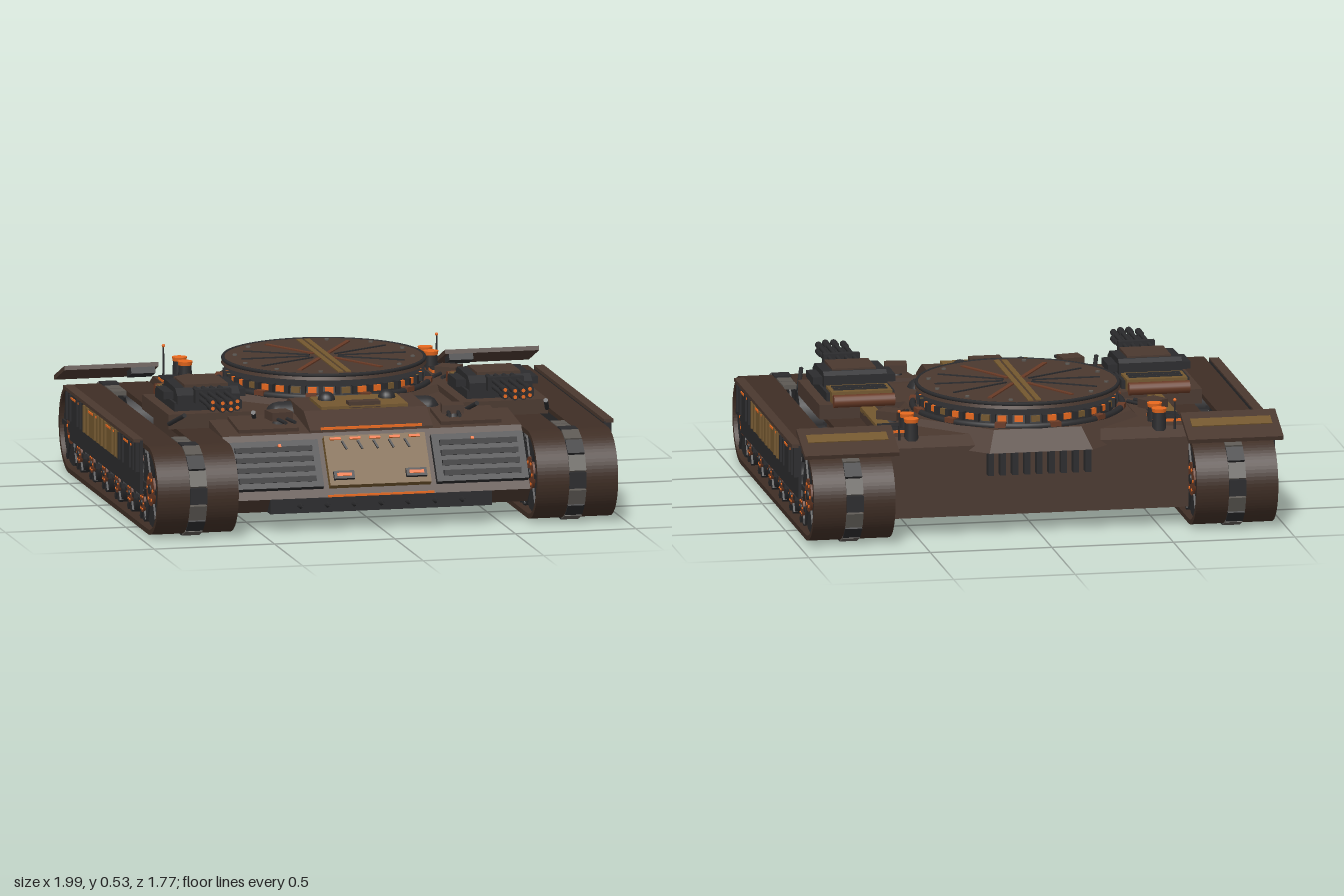
import * as THREE from 'three';

const mat = (color) => new THREE.MeshStandardMaterial({ color, flatShading: false });
const M = {
  brown: mat(0x4a382f), dark: mat(0x2b2b2d), grey: mat(0x5c5853), ochre: mat(0x73572f),
  rust: mat(0x683a26), orange: mat(0xe8691f), belt: mat(0x3f2e25),
};

function add(parent, name, geo, m, x = 0, y = 0, z = 0, rx = 0, ry = 0, rz = 0) {
  const mesh = new THREE.Mesh(geo, m);
  mesh.name = name;
  mesh.position.set(x, y, z);
  mesh.rotation.set(rx, ry, rz);
  parent.add(mesh);
  return mesh;
}
const box = (p, name, m, w, h, d, ...t) => add(p, name, new THREE.BoxGeometry(w, h, d), m, ...t);
const cyl = (p, name, m, rt, rb, h, n, ...t) => add(p, name, new THREE.CylinderGeometry(rt, rb, h, n), m, ...t);
// cylinder lying along x, or along z
const axle = (p, name, m, r, w, n, x, y, z) => cyl(p, name, m, r, r, w, n, x, y, z, 0, 0, Math.PI / 2);
const rod = (p, name, m, r, l, n, x, y, z) => cyl(p, name, m, r, r, l, n, x, y, z, Math.PI / 2);

function group(parent, name, x = 0, y = 0, z = 0) {
  const g = new THREE.Group();
  g.name = name;
  g.position.set(x, y, z);
  parent.add(g);
  return g;
}

// side profile of [z, y] points, extruded across x and centred
function profile(p, name, m, pts, width, x = 0) {
  const shape = new THREE.Shape(pts.map(([z, y]) => new THREE.Vector2(-z, y)));
  const geo = new THREE.ExtrudeGeometry(shape, { depth: width, bevelEnabled: false });
  geo.translate(0, 0, -width / 2).rotateY(Math.PI / 2);
  return add(p, name, geo, m, x);
}

function loopPath(path, half, r, cy) {
  path.absarc(half, cy, r, -Math.PI / 2, Math.PI / 2, false);
  path.absarc(-half, cy, r, Math.PI / 2, Math.PI * 1.5, false);
  path.closePath();
  return path;
}

function buildHull(root) {
  const g = group(root, 'hull');
  profile(g, 'hullBody', M.brown, [[-0.7, 0.07], [0.7, 0.07], [0.755, 0.13], [0.59, 0.365], [0.32, 0.395],
    [-0.64, 0.395], [-0.7, 0.36]], 1.24);
  box(g, 'frontBumper', M.dark, 0.92, 0.06, 0.06, 0, 0.1, 0.725);
  box(g, 'bumperLight', M.orange, 0.44, 0.008, 0.01, 0, 0.135, 0.757);
  for (let i = -3; i <= 3; i++)
    add(g, 'ramSpike', new THREE.ConeGeometry(0.018, 0.06, 4), M.dark, i * 0.112, 0.1, 0.77, Math.PI / 2);

  // sloped front armour, laid on the glacis plane
  const glacis = group(g, 'glacis', 0, 0.25, 0.676);
  glacis.rotation.x = -0.61;
  box(glacis, 'centrePlate', M.ochre, 0.42, 0.22, 0.03, 0, 0.005, 0.01);
  for (let i = -2; i <= 2; i++) box(glacis, 'claw', M.dark, 0.008, 0.04, 0.01, i * 0.065, 0.07, 0.027, 0, 0, 0.4);
  for (const s of [-1, 1]) {
    box(glacis, 'lampHousing', M.dark, 0.085, 0.035, 0.03, s * 0.15, -0.065, 0.025);
    box(glacis, 'lamp', M.orange, 0.06, 0.014, 0.01, s * 0.15, -0.065, 0.038);
    box(glacis, 'sidePlate', M.dark, 0.38, 0.21, 0.025, s * 0.425, 0, 0.008);
    for (let i = 0; i < 4; i++) box(glacis, 'louvre', M.dark, 0.32, 0.022, 0.02, s * 0.425, -0.07 + i * 0.045, 0.024, 0.35);
    box(glacis, 'marker', M.orange, 0.012, 0.012, 0.01, s * 0.4, 0.075, 0.035);
  }
  for (let i = -2; i <= 2; i++) box(glacis, 'dashLight', M.orange, 0.045, 0.01, 0.01, i * 0.082, 0.1, 0.027);

  // raised front block with hatch
  profile(g, 'frontBlock', M.brown, [[0.16, 0.36], [0.585, 0.34], [0.585, 0.375], [0.47, 0.435], [0.2, 0.44], [0.16, 0.42]], 0.51);
  box(g, 'blockLight', M.orange, 0.42, 0.01, 0.01, 0, 0.38, 0.582);
  box(g, 'hatchPlate', M.ochre, 0.36, 0.015, 0.21, 0, 0.442, 0.36, 0.02);
  box(g, 'hatchHandle', M.brown, 0.13, 0.025, 0.05, 0, 0.45, 0.44);
  const capsule = new THREE.CapsuleGeometry(0.055, 0.61, 4, 12);
  add(g, 'crossTube', capsule, M.dark, 0, 0.38, 0.24, 0, 0, Math.PI / 2);
  for (const s of [-1, 1]) {
    add(g, 'dome', new THREE.SphereGeometry(0.036, 16, 8, 0, Math.PI * 2, 0, Math.PI / 2), M.dark, s * 0.125, 0.447, 0.32);
    box(g, 'deckPlate', M.brown, 0.25, 0.015, 0.2, s * 0.42, 0.388, 0.46, 0.11);
    box(g, 'rearLedge', M.ochre, 0.06, 0.02, 0.34, s * 0.59, 0.398, -0.28);
    // small swivelling lamps on the deck
    for (const [x, z, a] of [[0.36, 0.48, 0.15], [0.54, -0.35, 0.6]]) {
      const lamp = group(g, 'deckLamp', s * x, 0.4, z);
      lamp.rotation.y = -s * a;
      cyl(lamp, 'lampFoot', M.dark, 0.02, 0.03, 0.03, 8, 0, 0, 0);
      box(lamp, 'lampBody', M.brown, 0.09, 0.035, 0.085, 0, 0.025, 0);
      rod(lamp, 'lampArm', M.dark, 0.008, 0.09, 6, -0.02, 0.015, 0.08);
      rod(lamp, 'lampArm', M.dark, 0.008, 0.09, 6, 0.02, 0.015, 0.08);
    }
    // rear exhausts, vent and aerial
    for (const z of [-0.64, -0.54]) {
      cyl(g, 'exhaust', M.dark, 0.026, 0.03, 0.08, 16, s * 0.51, 0.42, z);
      cyl(g, 'exhaustCap', M.orange, 0.031, 0.028, 0.016, 16, s * 0.51, 0.462, z);
    }
    box(g, 'vent', M.orange, 0.12, 0.012, 0.12, s * 0.555, 0.4, -0.51);
    for (let i = 0; i < 5; i++) box(g, 'ventSlat', M.dark, 0.12, 0.016, 0.01, s * 0.555, 0.404, -0.56 + i * 0.025);
    cyl(g, 'aerial', M.dark, 0.003, 0.005, 0.12, 6, s * 0.567, 0.45, -0.68);
    add(g, 'aerialTip', new THREE.SphereGeometry(0.007, 8, 6), M.orange, s * 0.567, 0.51, -0.68);
  }
  for (let i = -4; i <= 4; i++) box(g, 'rearRib', M.dark, 0.024, 0.1, 0.06, i * 0.05, 0.29, -0.71);
}

function buildTurret(root) {
  const g = group(root, 'turret', 0, 0, -0.26);
  const base = new THREE.CylinderGeometry(0.47, 0.555, 0.08, 8).toNonIndexed();
  base.computeVertexNormals();
  add(g, 'octagonBase', base, M.brown, 0, 0.38, 0, 0, Math.PI / 8);
  add(g, 'baseRing', new THREE.TorusGeometry(0.425, 0.014, 8, 64), M.dark, 0, 0.425, 0, Math.PI / 2);
  cyl(g, 'drum', M.dark, 0.385, 0.395, 0.055, 64, 0, 0.437, 0);
  const count = 36;
  for (let i = 0; i < count; i++) {
    const a = (i / count) * Math.PI * 2, s = Math.sin(a), c = Math.cos(a);
    box(g, 'ringLight', i % 3 ? M.orange : M.ochre, 0.035, 0.024, 0.015, s * 0.39, 0.45, c * 0.39, 0, a);
    box(g, 'ringPost', M.dark, 0.018, 0.035, 0.03, Math.sin(a + 0.087) * 0.395, 0.45, Math.cos(a + 0.087) * 0.395, 0, a + 0.087);
    if (i % 3 === 1) box(g, 'ringClamp', M.rust, 0.045, 0.02, 0.03, s * 0.425, 0.432, c * 0.425, 0, a);
  }
  cyl(g, 'pedestal', M.dark, 0.11, 0.22, 0.035, 24, 0, 0.482, 0);
  for (let i = 0; i < 12; i++) {
    const a = (i / 12) * Math.PI * 2;
    box(g, 'pedestalLight', M.orange, 0.03, 0.012, 0.02, Math.sin(a) * 0.19, 0.475, Math.cos(a) * 0.19, 0, a);
  }
  // round lid with spokes and bolts
  const lid = group(g, 'lid', 0, 0.507, 0);
  cyl(lid, 'lidDisc', M.brown, 0.408, 0.415, 0.024, 64);
  add(lid, 'lidRim', new THREE.TorusGeometry(0.408, 0.008, 6, 64), M.dark, 0, 0.008, 0, Math.PI / 2);
  for (const s of [-1, 1]) box(lid, 'lidStrip', M.ochre, 0.022, 0.01, 0.74, s * 0.016, 0.012, 0);
  for (let i = 0; i < 12; i++) {
    const a = (i / 12) * Math.PI * 2, s = Math.sin(a), c = Math.cos(a);
    if (i % 6 === 0) continue;
    const rusty = i % 2 === 1 && i % 3 !== 0;
    box(lid, 'lidSpoke', rusty ? M.rust : M.dark, rusty ? 0.018 : 0.008, 0.008, 0.28, s * 0.2, 0.013, c * 0.2, 0, a);
    cyl(lid, 'lidBolt', M.grey, 0.01, 0.01, 0.008, 8, Math.sin(a + 0.26) * 0.36, 0.014, Math.cos(a + 0.26) * 0.36);
  }
}

function buildSponson(root, s) {
  const g = group(root, 'sideGun', s * 0.607);
  box(g, 'sponson', M.brown, 0.36, 0.06, 0.47, 0, 0.39, 0.115);
  box(g, 'sponsonStep', M.dark, 0.28, 0.05, 0.34, 0, 0.43, 0.11);
  axle(g, 'rearTube', M.rust, 0.026, 0.25, 16, 0, 0.435, -0.13);
  box(g, 'ammoCover', M.ochre, 0.25, 0.05, 0.13, 0, 0.44, -0.03);
  for (let i = 0; i < 3; i++) box(g, 'coverRib', M.dark, 0.22, 0.01, 0.008, 0, 0.465, -0.06 + i * 0.03);
  profile(g, 'gunHousing', M.dark, [[0.05, 0.45], [0.29, 0.45], [0.29, 0.485], [0.25, 0.51], [0.07, 0.515], [0.05, 0.5]], 0.26);
  box(g, 'housingTop', M.brown, 0.18, 0.014, 0.17, 0, 0.515, 0.165);
  for (const t of [-1, 1]) box(g, 'housingEar', M.dark, 0.05, 0.03, 0.14, t * 0.145, 0.475, 0.15);
  box(g, 'barrelClamp', M.dark, 0.15, 0.056, 0.03, 0, 0.494, 0.36);
  // two rows of four barrels
  for (let i = 0; i < 8; i++) {
    const x = ((i % 4) - 1.5) * 0.034, y = i < 4 ? 0.482 : 0.508, end = i % 4 === 0 || i % 4 === 3 ? 0.58 : 0.61;
    rod(g, 'barrel', M.dark, 0.009, end - 0.26, 8, x, y, (end + 0.26) / 2);
    rod(g, 'muzzle', M.dark, 0.014, 0.055, 10, x, y, end - 0.025);
    rod(g, 'muzzleGlow', M.orange, 0.008, 0.004, 8, x, y, end + 0.003);
  }
  for (const t of [-1, 1])
    cyl(g, 'strut', M.dark, 0.01, 0.01, 0.14, 6, t * 0.16, 0.41, 0.41, 1.15, 0, t * 0.25);
}

function buildWheel(parent, name, r, x, y, z, hub) {
  const g = group(parent, name, x, y, z);
  axle(g, 'tyre', M.dark, r, 0.1, 24, 0, 0, 0);
  for (const s of [-1, 1]) {
    axle(g, 'hub', M.rust, hub, 0.012, 20, s * 0.053, 0, 0);
    axle(g, 'axleCap', M.dark, hub * 0.3, 0.016, 10, s * 0.057, 0, 0);
    for (let i = 0; i < 6; i++) {
      const a = (i / 6) * Math.PI * 2, q = (r + hub) / 2;
      box(g, 'spoke', M.dark, 0.016, 0.02, r - hub, s * 0.05, -Math.sin(a) * q, Math.cos(a) * q, a);
      axle(g, 'bolt', M.orange, hub * 0.1, 0.006, 6, s * 0.06, Math.sin(a) * hub * 0.7, Math.cos(a) * hub * 0.7);
    }
  }
}

function buildTrack(root, s) {
  const g = group(root, 'track');
  const ring = loopPath(new THREE.Shape(), 0.7, 0.18, 0.18);
  ring.holes.push(loopPath(new THREE.Path(), 0.7, 0.16, 0.18));
  const beltGeo = new THREE.ExtrudeGeometry(ring, { depth: 0.135, bevelEnabled: false, curveSegments: 20 });
  beltGeo.translate(0, 0, -0.0675).rotateY(Math.PI / 2);
  for (const x of [0.6875, 0.8875]) {
    add(g, 'belt', beltGeo, M.belt, s * x);
    for (const e of [-1, 1]) buildWheel(g, 'driveWheel', 0.157, s * x, 0.185, e * 0.705, 0.068);
    for (let i = 0; i < 6; i++) buildWheel(g, 'roadWheel', 0.078, s * x, 0.105, 0.56 - i * 0.224, 0.04);
  }
  // guide links around both ends, between the belts
  for (const e of [-1, 1]) {
    for (let i = 0; i <= 8; i++) {
      const a = (i / 8 - 0.5) * Math.PI;
      box(g, 'guideLink', i % 2 ? M.grey : M.dark, 0.07, 0.022, 0.066, s * 0.787, 0.18 + Math.sin(a) * 0.175,
        e * (0.7 + Math.cos(a) * 0.175), e * (Math.PI / 2 - a));
    }
    for (const z of [0.55, 0.625]) for (const y of [0.013, 0.352])
      box(g, 'guideLink', M.grey, 0.058, 0.018, 0.065, s * 0.787, y, e * z);
  }

  // side skirt in four panels
  for (let i = 0; i < 4; i++) {
    const z = 0.465 - i * 0.31, inner = i === 1 || i === 2, m = inner ? M.ochre : M.dark;
    box(g, 'skirtBacking', M.dark, 0.012, 0.22, 0.31, s * 0.963, 0.26, z);
    box(g, 'skirtPanel', m, 0.018, 0.13, 0.298, s * 0.978, 0.305, z);
    box(g, 'skirtLight', M.orange, 0.008, 0.008, 0.16, s * 0.987, 0.342, z);
    for (const k of [-0.12, -0.06, 0.06, 0.12]) box(g, 'skirtRib', m, 0.014, 0.11, 0.018, s * 0.988, 0.3, z + k);
  }
  box(g, 'skirtRail', M.brown, 0.04, 0.014, 1.24, s * 0.977, 0.37, 0);

  // sloping rear mudguard
  const guard = group(g, 'mudguard', s * 0.79, 0.405, -0.742);
  guard.rotation.x = -0.37;
  box(guard, 'guardPlate', M.brown, 0.39, 0.018, 0.2);
  box(guard, 'guardStripe', M.ochre, 0.33, 0.008, 0.055, 0, 0.009, 0.02);
  box(guard, 'guardArm', M.dark, 0.1, 0.03, 0.08, -s * 0.13, -0.02, 0.06);
}

export function createModel() {
  const root = new THREE.Group();
  root.name = 'trackedVehicle';
  buildHull(root);
  buildTurret(root);
  for (const s of [-1, 1]) {
    buildSponson(root, s);
    buildTrack(root, s);
  }
  return root;
}
